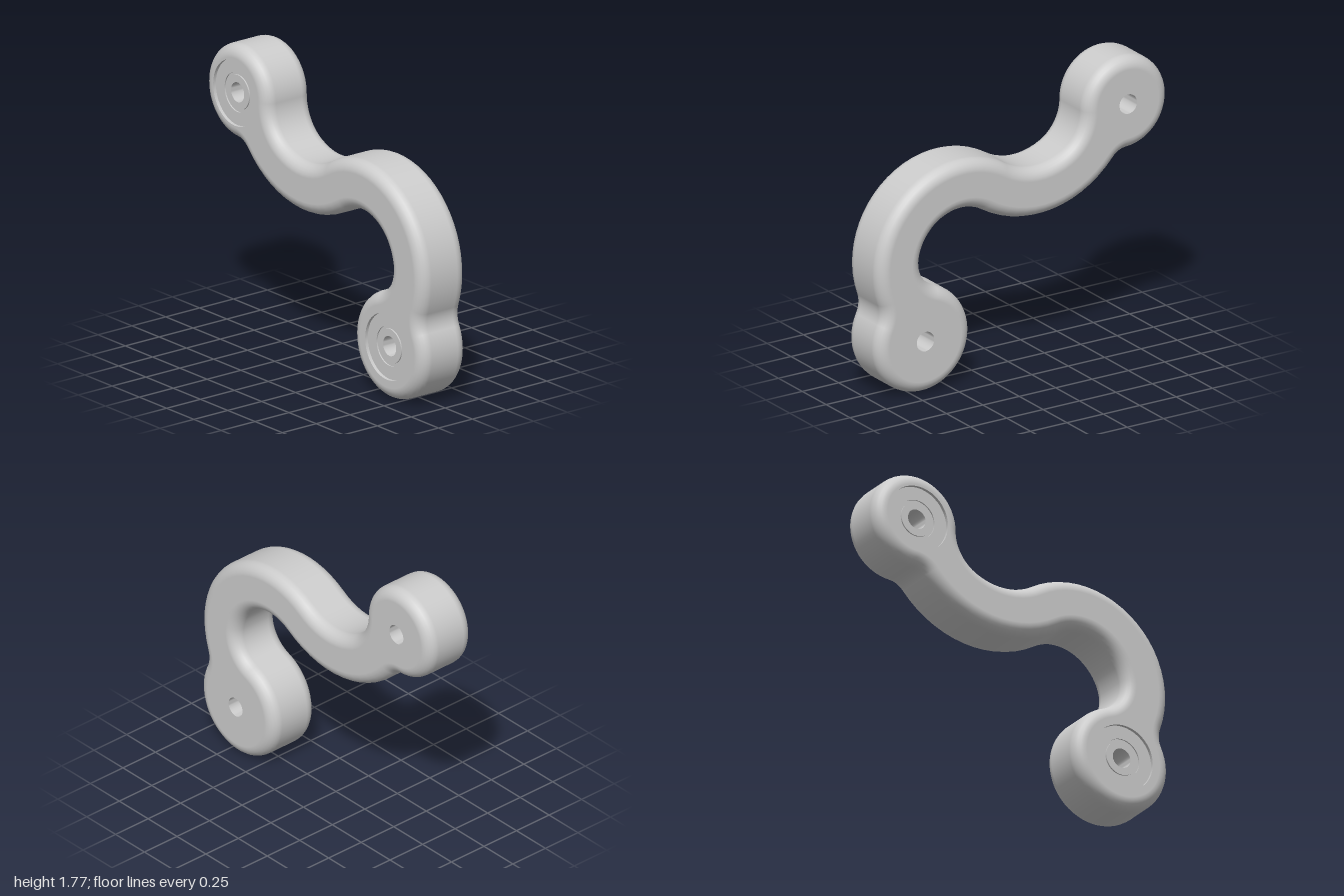
import * as THREE from 'three';
import { toCreasedNormals } from 'three/addons/utils/BufferGeometryUtils.js';

const HALF = 0.17;   // half thickness of the arm
const ROUND = 0.075; // edge rounding
const BORE = 0.06;
const POCKET = 0.2;

// Outline circles [u, v, signed radius]: positive = convex, negative = concave.
const lower = [-0.678, 0.322, 0.322];
const upper = [0.715, 1.49, 0.285];
const bendA = [-0.405, 0.78], bendB = [0.115, 1.606];
const innerA = [...bendA, -0.29], outerA = [...bendA, 0.59];
const innerB = [...bendB, -0.386], outerB = [...bendB, 0.686];

// Circle of signed radius r tangent to p and q; side +1 lies left of the line p to q.
function blend(p, q, r, side) {
  const dx = q[0] - p[0], dy = q[1] - p[1], d = Math.hypot(dx, dy);
  const dp = Math.abs(p[2] - r), dq = Math.abs(q[2] - r);
  const a = (d * d + dp * dp - dq * dq) / (2 * d);
  const h = side * Math.sqrt(Math.max(0, dp * dp - a * a));
  return [p[0] + (dx * a - dy * h) / d, p[1] + (dy * a + dx * h) / d, r];
}

// Point where two tangent circles touch.
function contact(p, q) {
  const t = p[2] / (p[2] - q[2]);
  return [p[0] + (q[0] - p[0]) * t, p[1] + (q[1] - p[1]) * t];
}

// Counter-clockwise outline samples: position and outward normal.
function makeOutline() {
  const arcs = [
    lower, blend(lower, innerA, -0.18, 1), innerA,
    outerB, blend(outerB, upper, -0.12, -1), upper,
    blend(upper, innerB, -0.25, 1), innerB,
    outerA, blend(outerA, lower, -0.15, -1),
  ];
  const samples = [];
  const turn = 2 * Math.PI;
  arcs.forEach((c, i) => {
    const start = contact(arcs[(i + arcs.length - 1) % arcs.length], c);
    const end = contact(c, arcs[(i + 1) % arcs.length]);
    const sign = Math.sign(c[2]), r = Math.abs(c[2]);
    const a0 = Math.atan2(start[1] - c[1], start[0] - c[0]);
    const a1 = Math.atan2(end[1] - c[1], end[0] - c[0]);
    const sweep = (((a1 - a0) * sign) % turn + turn) % turn;
    const n = Math.max(3, Math.ceil(sweep / 0.11));
    for (let k = 0; k < n; k++) {
      const a = a0 + sign * sweep * k / n;
      const x = Math.cos(a), y = Math.sin(a);
      samples.push({ x: c[0] + r * x, y: c[1] + r * y, nx: sign * x, ny: sign * y });
    }
  });
  return samples;
}

// Rounded side wall swept around the outline.
function wallGeometry(outline) {
  const pos = [], nor = [], idx = [], steps = 6, n = outline.length;
  const rows = [];
  for (const end of [-1, 1]) {
    for (let k = 0; k <= steps; k++) {
      const phi = (Math.PI / 2) * (end < 0 ? k / steps - 1 : k / steps);
      rows.push({ phi, w: end * (HALF - ROUND) + ROUND * Math.sin(phi) });
    }
  }
  rows.forEach(({ phi, w }, j) => {
    const c = Math.cos(phi), inset = ROUND * (1 - c);
    outline.forEach((p, i) => {
      pos.push(p.x - p.nx * inset, p.y - p.ny * inset, w);
      nor.push(p.nx * c, p.ny * c, Math.sin(phi));
      if (j === 0) return;
      const i2 = (i + 1) % n, a = (j - 1) * n, b = j * n;
      idx.push(a + i, a + i2, b + i2, a + i, b + i2, b + i);
    });
  });
  const g = new THREE.BufferGeometry();
  g.setAttribute('position', new THREE.Float32BufferAttribute(pos, 3));
  g.setAttribute('normal', new THREE.Float32BufferAttribute(nor, 3));
  g.setIndex(idx);
  return g;
}

// Flat face with two round openings.
function faceGeometry(outline, radius, w) {
  const shape = new THREE.Shape(outline.map(
    (p) => new THREE.Vector2(p.x - p.nx * ROUND, p.y - p.ny * ROUND)));
  for (const c of [lower, upper]) {
    shape.holes.push(new THREE.Path().absarc(c[0], c[1], radius, 0, Math.PI * 2, true));
  }
  const g = new THREE.ShapeGeometry(shape, 20);
  if (w < 0) {
    g.index.array.reverse();
    g.computeVertexNormals();
  }
  return g.translate(0, 0, w);
}

// Bore through the arm opening into a bearing pocket with a ring groove.
function boreGeometry() {
  const floor = -HALF + 0.02, groove = floor + 0.008;
  const profile = [
    [BORE, HALF], [BORE, floor], [0.105, floor], [0.105, groove],
    [0.12, groove], [0.12, floor], [POCKET, floor], [POCKET, -HALF],
  ].map(([r, y]) => new THREE.Vector2(r, y));
  const g = new THREE.LatheGeometry(profile, 40).rotateX(Math.PI / 2);
  return toCreasedNormals(g, 0.6);
}

export function createModel() {
  const arm = new THREE.Group();
  arm.name = 'curvedLinkArm';
  const material = new THREE.MeshStandardMaterial({ color: 0xcccccc });
  const add = (name, geometry) => {
    const mesh = new THREE.Mesh(geometry, material);
    mesh.name = name;
    arm.add(mesh);
    return mesh;
  };

  const outline = makeOutline();
  add('armWall', wallGeometry(outline));
  add('plainFace', faceGeometry(outline, BORE, HALF));
  add('bearingFace', faceGeometry(outline, POCKET, -HALF));

  const bore = boreGeometry();
  add('lowerBearingBore', bore).position.set(lower[0], lower[1], 0);
  add('upperBearingBore', bore).position.set(upper[0], upper[1], 0);

  // Turn the drawing plane so the thickness runs along x.
  arm.rotation.y = Math.PI / 2;
  const model = new THREE.Group();
  model.name = 'linkArm';
  model.add(arm);
  return model;
}
